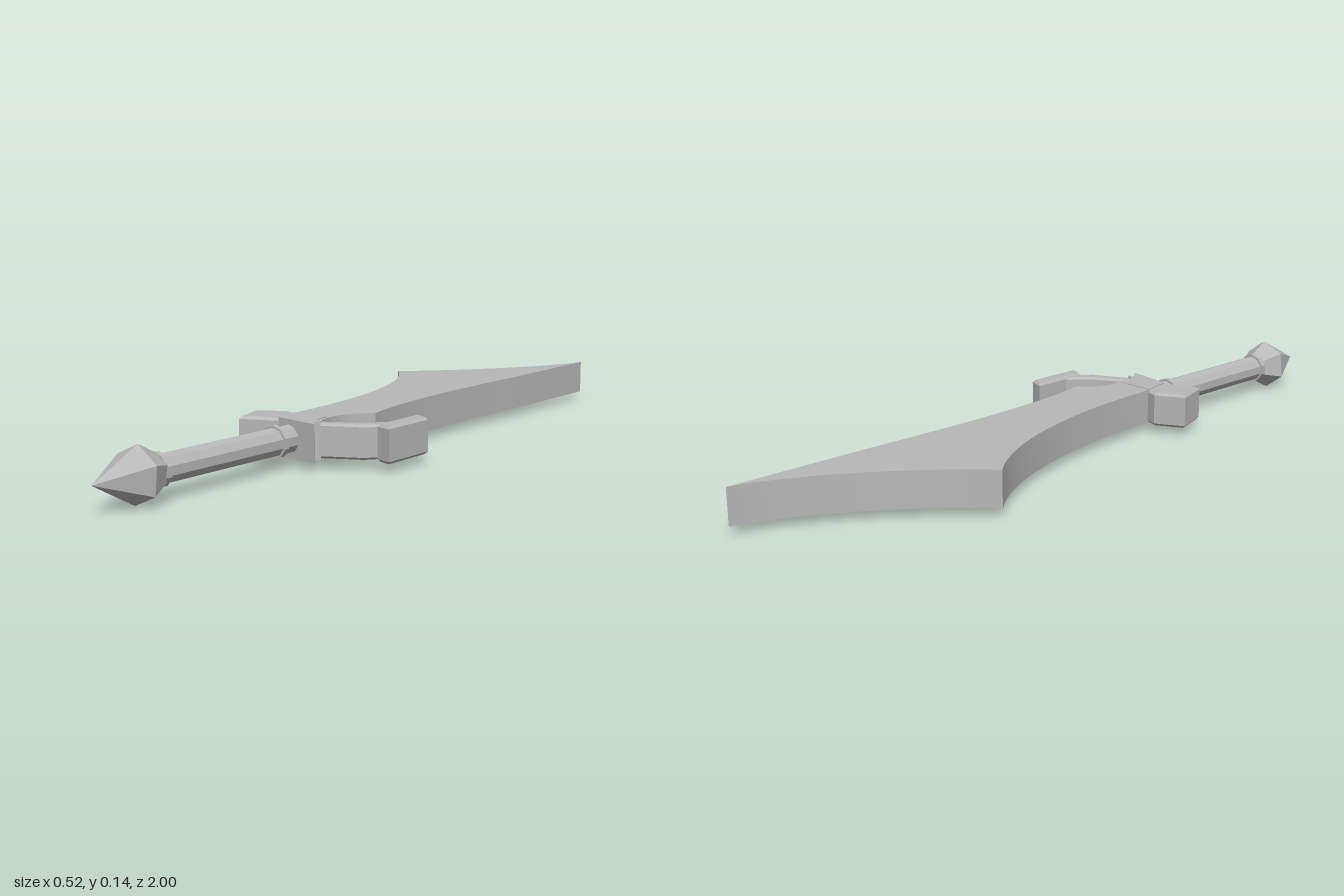
import * as THREE from 'three';
import { toCreasedNormals } from 'three/addons/utils/BufferGeometryUtils.js';

export function createModel() {
  const model = new THREE.Group();
  const steel = new THREE.MeshStandardMaterial({ color: 0xb8b8b8 });
  steel.name = 'grey steel';

  const add = (name, geometry) => {
    const mesh = new THREE.Mesh(geometry, steel);
    mesh.name = name;
    model.add(mesh);
    return mesh;
  };

  // Outline in (x, -z), raised from y0 to y1 with an optional bevel
  const slab = (name, shape, y0, y1, bevel = 0) => {
    const g = new THREE.ExtrudeGeometry(shape, {
      depth: y1 - y0 - 2 * bevel, curveSegments: 16, bevelEnabled: bevel > 0,
      bevelSize: bevel, bevelThickness: bevel, bevelOffset: -bevel, bevelSegments: 1,
    });
    g.rotateX(-Math.PI / 2);
    g.translate(0, y0 + bevel, 0);
    return add(name, toCreasedNormals(g, 0.4));
  };
  const polygon = (points) => new THREE.Shape(points.map(([x, z]) => new THREE.Vector2(x, -z)));

  // Blade: hooked back, swept tip and a round notch above the guard
  const blade = new THREE.Shape();
  blade.moveTo(-0.045, 0.3 * -1);
  blade.lineTo(0.08, -0.315);
  blade.bezierCurveTo(0.055, -0.25, 0.065, -0.185, 0.122, -0.145);
  blade.bezierCurveTo(0.075, 0.03, 0.075, 0.3, 0.083, 0.6);
  blade.lineTo(0.084, 1);
  blade.bezierCurveTo(0.04, 0.82, -0.13, 0.6, -0.265, 0.485);
  blade.bezierCurveTo(-0.13, 0.34, -0.045, 0.06, -0.045, -0.3);
  slab('blade', blade, 0.025, 0.12);

  // Guard: short block on one side, pointed collar under the blade
  slab('guardBlock', polygon([
    [-0.155, 0.292], [-0.078, 0.252], [-0.035, 0.265], [-0.025, 0.345], [-0.125, 0.388],
  ]), 0.025, 0.12, 0.007);
  slab('guardCollar', polygon([
    [-0.045, 0.265], [0.06, 0.265], [0.068, 0.315], [0.092, 0.33], [0.08, 0.34],
    [0.102, 0.368], [-0.03, 0.346],
  ]), 0.024, 0.122);

  // Bent guard arm with its upright end block
  slab('guardArm', polygon([
    [0.065, 0.31], [0.165, 0.255], [0.215, 0.2], [0.235, 0.225], [0.19, 0.283], [0.075, 0.338],
  ]), 0.029, 0.117, 0.006);
  slab('guardEnd', polygon([
    [0.215, 0.093], [0.26, 0.11], [0.26, 0.276], [0.215, 0.262],
  ]), 0.025, 0.12, 0.007);

  // Grip and its two rings, running along z
  const rod = (name, radius, z0, z1) => {
    const g = new THREE.CylinderGeometry(radius, radius, z1 - z0, 10).toNonIndexed();
    g.rotateX(Math.PI / 2);
    g.computeVertexNormals();
    add(name, g).position.set(0.01, 0.073, (z0 + z1) / 2);
  };
  rod('grip', 0.036, 0.34, 0.82);
  rod('upperRing', 0.042, 0.4, 0.414);
  rod('lowerRing', 0.042, 0.798, 0.814);

  // Six-sided pointed pommel
  const profile = [[0, 0.806], [0.038, 0.806], [0.071, 0.87], [0, 1]]
    .map(([r, z]) => new THREE.Vector2(r, z));
  const pommel = new THREE.LatheGeometry(profile, 6).toNonIndexed();
  pommel.rotateX(Math.PI / 2);
  pommel.rotateZ(THREE.MathUtils.degToRad(-6));
  // Turn so that one corner points almost straight up
  pommel.computeVertexNormals();
  add('pommel', pommel).position.set(0.012, 0.073, 0);

  return model;
}
